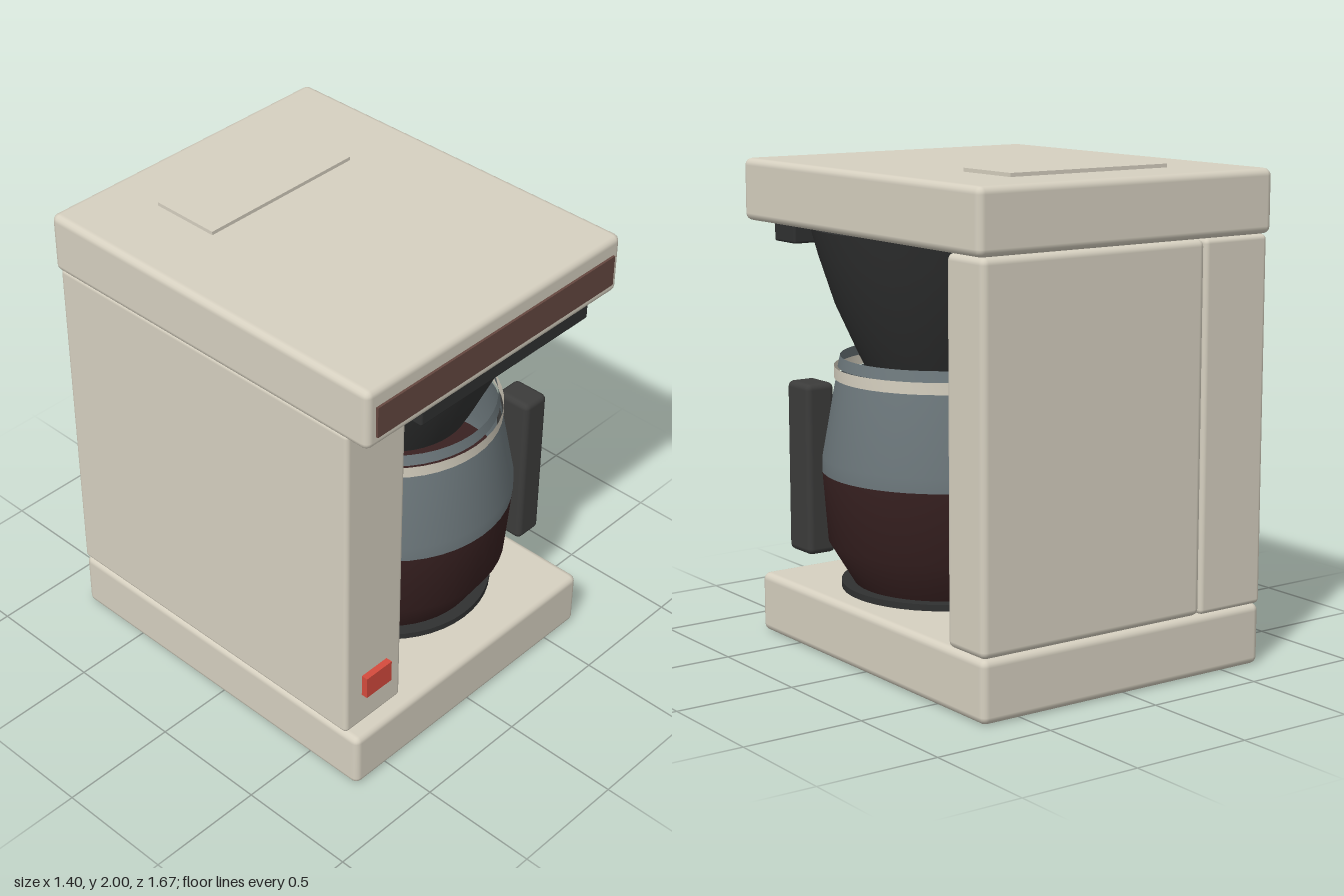
import * as THREE from 'three';
import { toCreasedNormals } from 'three/addons/utils/BufferGeometryUtils.js';
import { RoundedBoxGeometry } from 'three/addons/geometries/RoundedBoxGeometry.js';

const material = (name, color, side = THREE.FrontSide) => {
  const m = new THREE.MeshStandardMaterial({ color, side });
  m.name = name;
  return m;
};

export function createModel() {
  const group = new THREE.Group();
  group.name = 'coffeeMaker';

  const cream = material('cream', 0xd6d0c0, THREE.DoubleSide);
  const black = material('black', 0x303131);
  const charcoal = material('charcoal', 0x3c3c3b);
  const brown = material('brown', 0x654840);
  const red = material('red', 0xd54b3d);
  const glass = material('glass', 0x6c777b, THREE.DoubleSide);
  const coffee = material('coffee', 0x382121);

  const add = (name, geometry, mat) => {
    const mesh = new THREE.Mesh(geometry, mat);
    mesh.name = name;
    group.add(mesh);
    return mesh;
  };

  // Box given by its min and max on each axis, with optional rounded edges
  const box = (name, mat, [x0, x1], [y0, y1], [z0, z1], radius = 0) => {
    const size = [x1 - x0, y1 - y0, z1 - z0];
    const geometry = radius
      ? new RoundedBoxGeometry(...size, 2, radius)
      : new THREE.BoxGeometry(...size);
    add(name, geometry, mat).position.set((x0 + x1) / 2, (y0 + y1) / 2, (z0 + z1) / 2);
  };

  // Turned part around the carafe axis, from [radius, height] pairs
  const turned = (name, mat, profile) => {
    const points = profile.map(([r, y]) => new THREE.Vector2(r, y));
    const geometry = toCreasedNormals(new THREE.LatheGeometry(points, 48), 0.6);
    add(name, geometry, mat).position.set(0.15, 0, 0.16);
  };

  // Housing
  box('base', cream, [-0.68, 0.68], [0, 0.25], [-0.83, 0.77], 0.03);
  box('column', cream, [-0.68, -0.365], [0.25, 1.73], [-0.83, 0.71], 0.02);
  box('backWall', cream, [-0.365, 0.68], [0.25, 1.73], [-0.83, -0.595], 0.028);
  box('head', cream, [-0.70, 0.70], [1.73, 1.985], [-0.835, 0.825], 0.03);
  box('waterLid', cream, [-0.375, 0.375], [1.97, 2], [-0.58, -0.28]);
  box('frontPanel', brown, [-0.655, 0.655], [1.78, 1.91], [0.81, 0.835]);
  box('powerSwitch', red, [-0.59, -0.45], [0.405, 0.505], [0.70, 0.738]);

  // Filter holder
  box('filterRail', black, [-0.37, 0.58], [1.64, 1.735], [0.625, 0.785], 0.01);
  turned('filterFunnel', black, [
    [0, 1.14], [0.32, 1.14], [0.355, 1.21], [0.45, 1.42], [0.515, 1.62], [0.545, 1.73], [0, 1.73],
  ]);

  // Warming plate and carafe
  turned('warmingPlate', black, [[0, 0.24], [0.437, 0.24], [0.437, 0.276], [0, 0.276]]);
  turned('coffeeFill', coffee, [
    [0, 0.275], [0.385, 0.275], [0.49, 0.45], [0.513, 0.74], [0, 0.74],
  ]);
  turned('carafeGlass', glass, [[0.513, 0.74], [0.513, 0.8], [0.45, 1.12]]);
  turned('carafeBand', cream, [[0.458, 1.12], [0.458, 1.168]]);
  turned('carafeRim', glass, [[0.443, 1.165], [0.433, 1.21]]);
  box('carafeHandle', charcoal, [0.545, 0.675], [0.395, 1.10], [0.385, 0.55], 0.025);

  return group;
}
